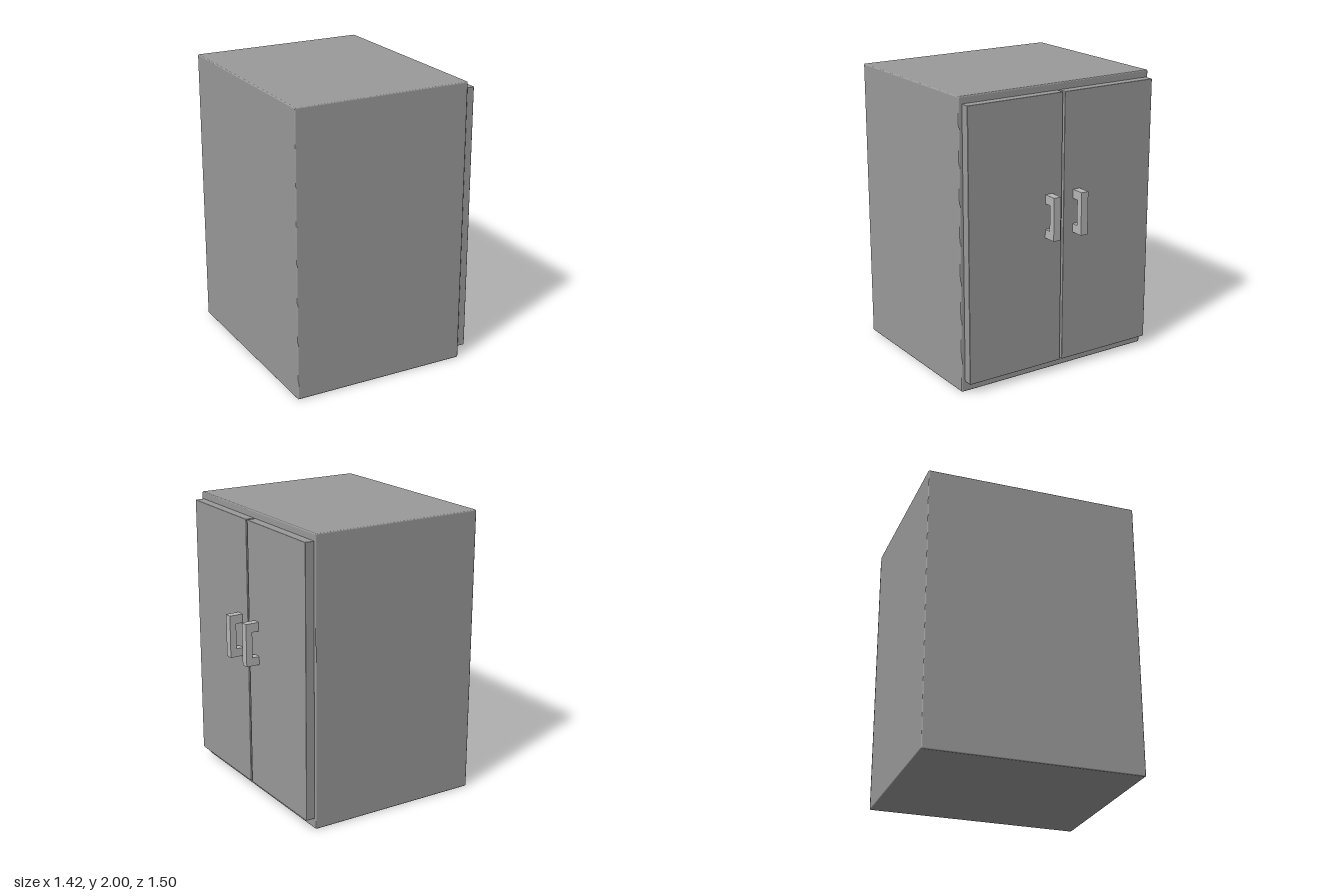
import * as THREE from 'three';

const bodyGrey = new THREE.MeshStandardMaterial({ color: 0x9a9a9a, flatShading: true });
const handleGrey = new THREE.MeshStandardMaterial({ color: 0xb7b7b7, flatShading: true });
const STEPS = 4; // facets per rounded edge

// Rounded rectangle in the y-z plane, ordered from +y towards +z
function ring(x, y0, y1, z0, z1, r) {
  const corners = [[y1 - r, z1 - r], [y0 + r, z1 - r], [y0 + r, z0 + r], [y1 - r, z0 + r]];
  const points = [];
  corners.forEach(([y, z], k) => {
    for (let s = 0; s <= STEPS; s++) {
      const a = (k + s / STEPS) * Math.PI / 2;
      points.push([x, y + r * Math.cos(a), z + r * Math.sin(a)]);
    }
  });
  return points;
}

// Skin a list of rings and close both ends
function loft(rings) {
  const n = rings[0].length, last = (rings.length - 1) * n, index = [];
  for (let i = 0; i < rings.length - 1; i++) {
    for (let j = 0; j < n; j++) {
      const a = i * n + j, b = i * n + (j + 1) % n;
      index.push(a, b, b + n, a, b + n, a + n);
    }
  }
  for (let j = 1; j < n - 1; j++) {
    index.push(0, j + 1, j, last, last + j, last + j + 1);
  }
  const g = new THREE.BufferGeometry();
  g.setAttribute('position', new THREE.Float32BufferAttribute(rings.flat(2), 3));
  g.setIndex(index);
  const flat = g.toNonIndexed();
  flat.computeVertexNormals();
  return flat;
}

// Rings of a slab whose edges are all rounded by r
function slabRings(x0, x1, y0, y1, z0, z1, r) {
  const back = [], front = [];
  for (let s = 0; s <= STEPS; s++) {
    const a = s / STEPS * Math.PI / 2;
    const inset = r * (1 - Math.sin(a)), depth = r * (1 - Math.cos(a));
    const sides = [y0 + inset, y1 - inset, z0 + inset, z1 - inset, r - inset + 0.0005];
    back.push(ring(x0 + depth, ...sides));
    front.push(ring(x1 - depth, ...sides));
  }
  // s = 0 is the inset end face, s = STEPS the full outline
  return [...back, ...front.reverse()];
}

function add(group, name, geometry, material) {
  const mesh = new THREE.Mesh(geometry, material);
  mesh.name = name;
  group.add(mesh);
  return mesh;
}

export function createModel() {
  const cabinet = new THREE.Group();
  cabinet.name = 'cabinet';

  // Carcass: outer box, then the front opening and the cavity behind it
  const opening = [0.176, 1.826, -0.6, 0.6, 0.002];
  add(cabinet, 'carcass', loft([
    ...slabRings(-0.709, 0.548, 0, 2, -0.752, 0.752, 0.008).map((loop) =>
      // swap the depth curve so that each edge is a quarter round
      loop),
    ring(0.548, ...opening),
    ring(-0.55, ...opening),
  ]), bodyGrey);

  // Doors, with a narrow gap between them
  const doorSpans = { leftDoor: [0.003, 0.728], rightDoor: [-0.737, -0.012] };
  for (const [name, span] of Object.entries(doorSpans)) {
    add(cabinet, name, loft(slabRings(0.548, 0.613, 0.072, 1.952, ...span, 0.004)), bodyGrey);
  }

  // Square-cut bracket handles
  const profile = new THREE.Shape([
    [0.613, 0.983], [0.709, 0.983], [0.709, 1.281], [0.613, 1.281],
    [0.613, 1.219], [0.663, 1.219], [0.663, 1.041], [0.613, 1.041],
  ].map(([x, y]) => new THREE.Vector2(x, y)));
  const handle = new THREE.ExtrudeGeometry(profile, { depth: 0.055, bevelEnabled: false });
  add(cabinet, 'leftHandle', handle, handleGrey).position.z = 0.079;
  add(cabinet, 'rightHandle', handle, handleGrey).position.z = -0.143;

  return cabinet;
}
